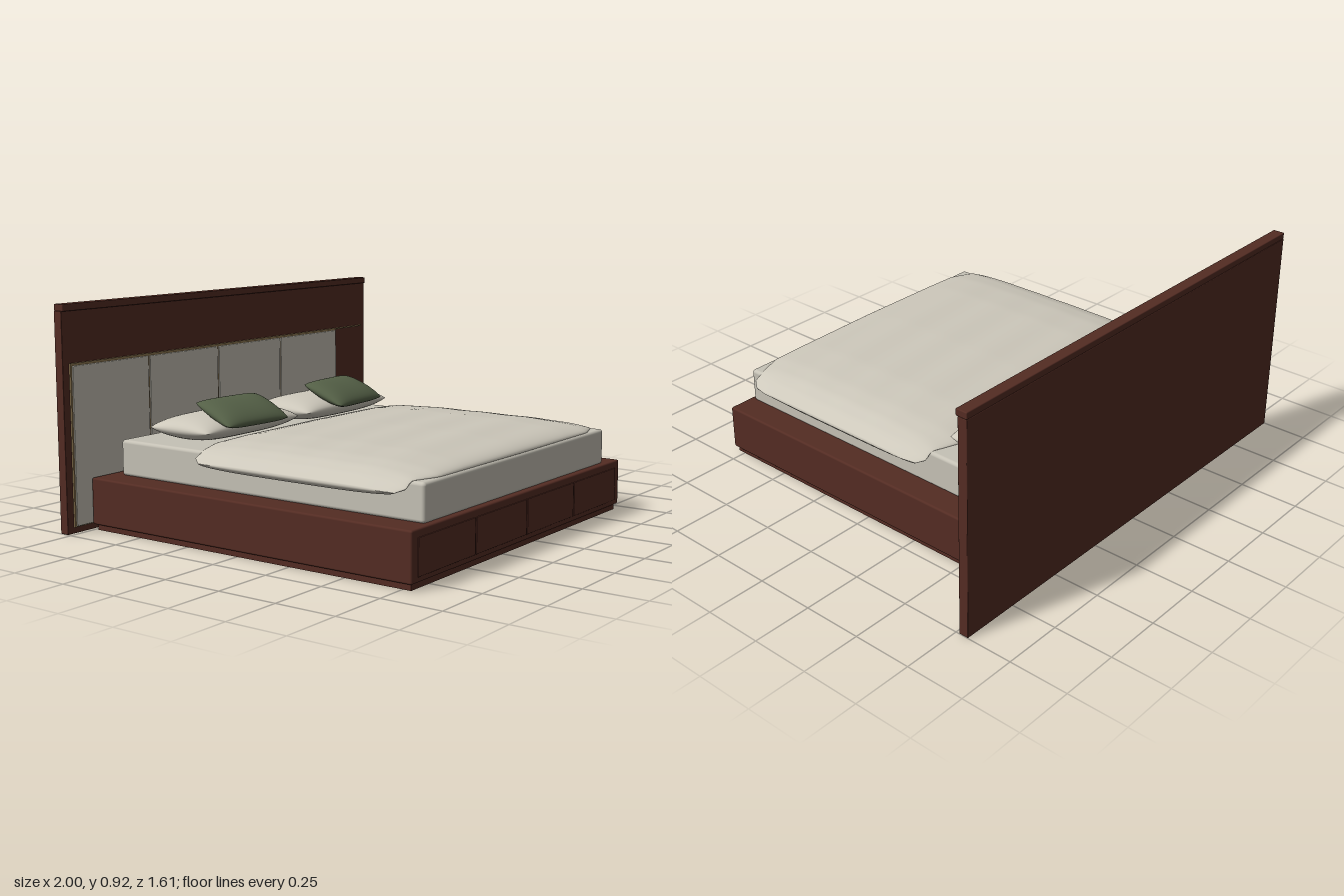
import * as THREE from 'three';
import { mergeVertices } from 'three/addons/utils/BufferGeometryUtils.js';
import { RoundedBoxGeometry } from 'three/addons/geometries/RoundedBoxGeometry.js';

const mat = (name, color, side = THREE.FrontSide) => {
  const m = new THREE.MeshStandardMaterial({ color, side });
  m.name = name;
  return m;
};

// Linear interpolation through [x, y] points
function lerpThrough(points, x) {
  for (let i = 1; i < points.length; i++) {
    const [x0, y0] = points[i - 1], [x1, y1] = points[i];
    if (x <= x1) return y0 + (y1 - y0) * (x - x0) / (x1 - x0);
  }
  return points[points.length - 1][1];
}

// Closed soft surface: f(u, v, side) gives a point for u, v in -1..1, side +1 top / -1 bottom
function softSurface(nu, nv, f) {
  const pos = [], idx = [];
  for (const side of [1, -1]) {
    const base = pos.length / 3;
    for (let j = 0; j <= nv; j++) {
      for (let i = 0; i <= nu; i++) {
        const u = Math.sin((i / nu - 0.5) * Math.PI), v = Math.sin((j / nv - 0.5) * Math.PI);
        pos.push(...f(u, v, side));
      }
    }
    for (let j = 0; j < nv; j++) {
      for (let i = 0; i < nu; i++) {
        const a = base + j * (nu + 1) + i, b = a + 1, c = a + nu + 1, d = c + 1;
        if (side > 0) idx.push(a, c, b, b, c, d);
        else idx.push(a, b, c, b, d, c);
      }
    }
  }
  let g = new THREE.BufferGeometry();
  g.setAttribute('position', new THREE.Float32BufferAttribute(pos, 3));
  g.setIndex(idx);
  g = mergeVertices(g, 1e-5);
  g.computeVertexNormals();
  return g;
}

// Pillow with softly rounded corners
function pillowGeometry(w, h, d, corner) {
  return softSurface(32, 24, (u, v, side) => {
    const x = u * w / 2 * (1 - corner * v ** 8), z = v * d / 2 * (1 - corner * u ** 8);
    const puff = Math.sqrt(Math.max(0, (1 - u ** 4) * (1 - v * v)));
    return [x, side * h / 2 * puff, z];
  });
}

export function createModel() {
  const root = new THREE.Group();
  const wood = mat('dark wood', 0x542c23);
  const fabric = mat('panel fabric', 0xc6c2b6);
  const linen = mat('linen', 0xcdc8bb, THREE.DoubleSide);
  const green = mat('green cloth', 0x566248);
  const brass = mat('brass', 0x8f7852);

  const add = (name, geometry, material) => {
    const m = new THREE.Mesh(geometry, material);
    m.name = name;
    root.add(m);
    return m;
  };
  // Box given by its limits, optionally rounded
  const box = (name, material, x0, x1, y0, y1, z0, z1, r = 0) => {
    const s = [x1 - x0, y1 - y0, z1 - z0];
    const g = r ? new RoundedBoxGeometry(...s, 3, r) : new THREE.BoxGeometry(...s);
    add(name, g, material).position.set((x0 + x1) / 2, (y0 + y1) / 2, (z0 + z1) / 2);
  };

  // Headboard with a projecting cap
  box('headboard', wood, -1, 1, 0, 0.89, -0.806, -0.765, 0.003);
  box('headboardCap', wood, -1, 1, 0.889, 0.917, -0.806, -0.756, 0.004);

  // Upholstered panels on a brass backing
  box('panelBacking', brass, -0.967, 0.757, 0.026, 0.677, -0.766, -0.757);
  for (let i = 0; i < 4; i++) {
    const x = -0.963 + i * 0.43;
    box('headboardPanel', fabric, x + 0.003, x + 0.425, 0.03, 0.673, -0.758, -0.752, 0.002);
  }
  box('headboardTrim', brass, -0.967, 0.968, 0.677, 0.683, -0.766, -0.757);

  // Platform base, recessed plinth and drawer fronts
  box('plinth', wood, -0.865, 0.685, 0, 0.03, -0.735, 0.785);
  box('bedBase', wood, -0.88, 0.7, 0.024, 0.215, -0.75, 0.797, 0.008);
  const seams = [-0.845, -0.465, -0.09, 0.29, 0.665];
  for (let i = 0; i < 4; i++) {
    box('drawerFront', wood, seams[i] + 0.003, seams[i + 1] - 0.003, 0.045, 0.185, 0.79, 0.8, 0.002);
  }

  // Mattress
  box('mattress', fabric, -0.77, 0.59, 0.213, 0.36, -0.69, 0.775, 0.014);

  // Duvet: cross-section and ends vary with distance from the centre line
  const topY = [[0, 0.416], [0.4, 0.411], [0.56, 0.4], [0.64, 0.386], [0.7, 0.364], [0.753, 0.327]];
  const lowY = [[0, 0.35], [0.66, 0.35], [0.7, 0.322], [0.735, 0.306], [0.753, 0.327]];
  const inset = [[0, 0], [0.56, 0.005], [0.64, 0.035], [0.68, 0.05], [0.71, 0.045], [0.735, 0.08], [0.753, 0.15]];
  add('duvet', softSurface(72, 48, (u, v, side) => {
    const s = Math.sin(Math.asin(u) * 0.8) / Math.sin(Math.PI * 0.4);
    const dx = Math.abs(s) * 0.753;
    const half = 0.535 - lerpThrough(inset, dx);
    const hi = lerpThrough(topY, dx), lo = lerpThrough(lowY, dx);
    const mid = dx < 0.66 ? 0.36 : Math.min(0.36, (hi + lo) / 2);
    const edge = Math.sqrt(Math.max(0, 1 - Math.abs(v) ** 3.5));
    const ripple = 0.003 * Math.sin(v * 15 + s * 1.5) * edge * (1 - s * s);
    const y = side > 0 ? mid + (hi - mid) * edge + ripple : mid - (mid - lo) * edge;
    return [-0.0925 + s * 0.753, y, 0.232 + v * half];
  }), linen);

  // Sleeping pillows and tilted cushions, mirrored about the bed's centre line
  const pillow = pillowGeometry(0.585, 0.108, 0.32, 0.035);
  const cushion = pillowGeometry(0.345, 0.07, 0.212, 0.03);
  for (const side of [-1, 1]) {
    add('pillow', pillow, linen).position.set(-0.09 + side * 0.32, 0.41, -0.445);
    const c = add('cushion', cushion, green);
    c.position.set(-0.085 + side * 0.342, 0.468, -0.34);
    c.rotation.set(0.4, side * 0.08, 0, 'YXZ');
  }
  return root;
}
